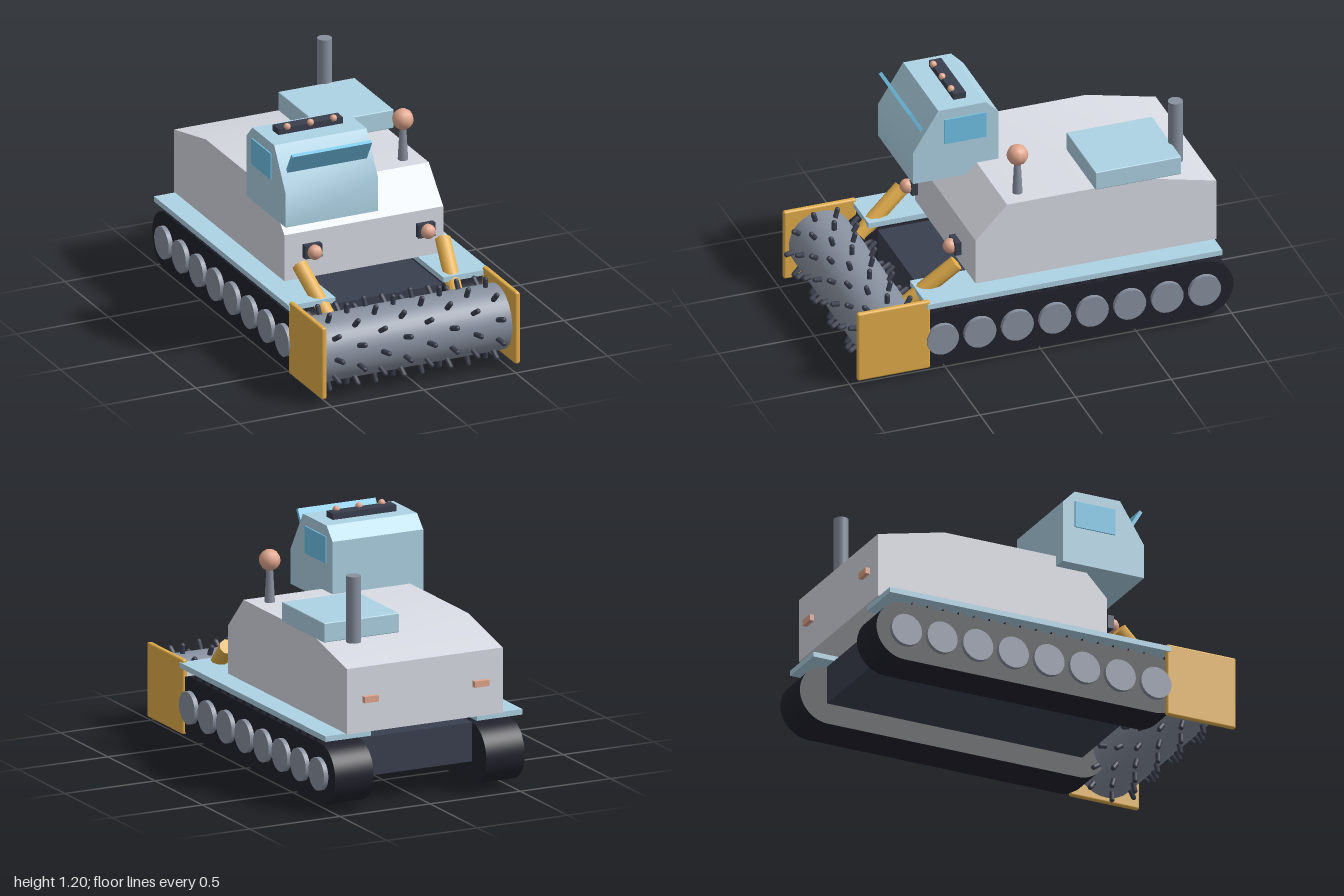
import * as THREE from 'three';
import { toCreasedNormals } from 'three/addons/utils/BufferGeometryUtils.js';
import { RoundedBoxGeometry } from 'three/addons/geometries/RoundedBoxGeometry.js';

const mat = (name, color) => {
  const m = new THREE.MeshStandardMaterial({ color });
  m.name = name;
  return m;
};

export function createModel() {
  const model = new THREE.Group();
  model.name = 'trackedRoller';

  const bodyGrey = mat('body grey', 0xd8dbe3);
  const paleBlue = mat('pale blue', 0xaed3e5);
  const glass = mat('glass blue', 0x72c6ea);
  const yellow = mat('yellow', 0xe2ad4a);
  const steel = mat('steel', 0x88909f);
  const dark = mat('dark slate', 0x3a3f4e);
  const rubber = mat('rubber', 0x20212c);
  const copper = mat('copper', 0xe2a88e);

  const add = (name, geo, material, x = 0, y = 0, z = 0) => {
    const mesh = new THREE.Mesh(geo, material);
    mesh.name = name;
    mesh.position.set(x, y, z);
    model.add(mesh);
    return mesh;
  };
  // Box given by its lower and upper limits, with softened edges if r is set
  const box = (name, material, x0, x1, y0, y1, z0, z1, r = 0) => {
    const size = [x1 - x0, y1 - y0, z1 - z0];
    const geo = r ? new RoundedBoxGeometry(...size, 2, r) : new THREE.BoxGeometry(...size);
    return add(name, geo, material, (x0 + x1) / 2, (y0 + y1) / 2, (z0 + z1) / 2);
  };
  // Side outline in z and y, extruded along x from x0 to x1
  const extrudeX = (name, shape, material, x0, x1) => {
    const geo = new THREE.ExtrudeGeometry(shape, { depth: x1 - x0, bevelEnabled: false, curveSegments: 14 });
    geo.rotateY(-Math.PI / 2).translate(x1, 0, 0);
    return add(name, toCreasedNormals(geo, 0.6), material);
  };
  const outline = (pts) => new THREE.Shape(pts.map(([z, y]) => new THREE.Vector2(z, y)));
  // Cylinder between two points
  const rod = (name, material, a, b, rA, rB, sides) => {
    const from = new THREE.Vector3(...a), to = new THREE.Vector3(...b);
    const dir = to.clone().sub(from);
    const mesh = add(name, new THREE.CylinderGeometry(rB, rA, dir.length(), sides), material);
    mesh.position.copy(from).add(to).multiplyScalar(0.5);
    mesh.quaternion.setFromUnitVectors(new THREE.Vector3(0, 1, 0), dir.normalize());
    return mesh;
  };
  const ball = (name, r, x, y, z) =>
    add(name, new THREE.SphereGeometry(r, 10, 8), copper, x, y, z);

  // Hull between the tracks
  box('hull', dark, -0.315, 0.315, 0.145, 0.343, -0.85, 0.552);

  // Main body with sloped nose and tail
  extrudeX('body', outline([[-0.945, 0.4], [0.315, 0.4], [0.315, 0.646], [0.15, 0.818],
    [-0.58, 0.818], [-0.945, 0.733]]), bodyGrey, -0.432, 0.432);

  // Stadium-shaped track outline
  const axleY = 0.189;
  const trackShape = new THREE.Shape();
  trackShape.absarc(0.53, axleY, 0.153, -Math.PI / 2, Math.PI / 2);
  trackShape.absarc(-0.846, axleY, 0.153, Math.PI / 2, Math.PI * 1.5);

  for (const s of [-1, 1]) {
    const side = s > 0 ? 'left' : 'right';
    const span = (a, b) => (s > 0 ? [a, b] : [-b, -a]);

    // Running gear
    extrudeX(side + 'Track', trackShape, rubber, ...span(0.312, 0.525));
    for (let i = 0; i < 8; i++) {
      const z = 0.527 - i * 0.1958;
      rod(side + 'Wheel', steel, [s * 0.5, axleY, z], [s * 0.549, axleY, z], 0.083, 0.083, 24);
    }
    for (let i = 0; i < 16; i++) {
      const z = 0.49 - i * 0.085;
      box(side + 'TrackLug', rubber, ...span(0.33, 0.52), 0.335, 0.358, z - 0.013, z + 0.013);
    }
    box(side + 'Fender', paleBlue, ...span(0.293, 0.546), 0.374, 0.402, -0.935, 0.608);

    // Arm and side plate carrying the drum
    rod(side + 'Arm', yellow, [s * 0.345, 0.315, 0.64], [s * 0.389, 0.513, 0.4], 0.041, 0.041, 8);
    box(side + 'DrumPlate', yellow, ...span(0.512, 0.54), 0.036, 0.417, 0.59, 0.97, 0.01);

    // Headlight and tail light
    box(side + 'HeadlightMount', dark, ...span(0.262, 0.354), 0.532, 0.602, 0.36, 0.392);
    ball(side + 'Headlight', 0.038, s * 0.308, 0.567, 0.402);
    box(side + 'TailLight', copper, ...span(0.265, 0.345), 0.553, 0.585, -0.968, -0.94);
  }

  // Spiked drum
  const drumY = 0.225, drumZ = 0.78;
  rod('drum', steel, [-0.507, drumY, drumZ], [0.507, drumY, drumZ], 0.167, 0.167, 32);
  const spikeGeo = new THREE.CapsuleGeometry(0.0135, 0.045, 3, 8);
  const up = new THREE.Vector3(0, 1, 0);
  for (let col = 0; col < 8; col++) {
    for (let i = 0; i < 10; i++) {
      const a = (i + (col % 2) / 2) * Math.PI / 5;
      const spike = add('drumSpike', spikeGeo, dark, -0.44 + col * 0.1257,
        drumY + 0.184 * Math.sin(a), drumZ + 0.184 * Math.cos(a));
      // Lean sideways, most at the front and back
      const dir = new THREE.Vector3(0.35 * Math.cos(a), Math.sin(a), Math.cos(a)).normalize();
      spike.quaternion.setFromUnitVectors(up, dir);
    }
  }

  // Cab
  extrudeX('cab', outline([[0.035, 0.763], [0.482, 0.763], [0.482, 0.94], [0.35, 1.152],
    [0.1, 1.152], [0.035, 1.085]]), paleBlue, -0.504, -0.002);
  box('cabWindowRight', glass, -0.511, -0.502, 0.96, 1.097, 0.1, 0.32);
  box('cabWindowLeft', glass, -0.004, 0.005, 0.96, 1.097, 0.1, 0.32);
  // Raised windscreen
  const screen = add('raisedWindscreen', new THREE.BoxGeometry(0.432, 0.122, 0.018), glass, -0.254, 1.086, 0.452);
  screen.rotation.x = 0.53;
  // Roof light bar
  box('roofLightBar', dark, -0.43, -0.078, 1.15, 1.184, 0.178, 0.243);
  for (const x of [-0.38, -0.254, -0.128]) ball('roofLight', 0.018, x, 1.187, 0.238);

  // Rear deck box on rods
  box('deckBox', paleBlue, 0.041, 0.458, 0.823, 0.922, -0.752, -0.303, 0.005);
  for (let i = 0; i < 5; i++) {
    const z = -0.37 - i * 0.08;
    rod('deckRod', yellow, [0.085, 0.823, z], [0.415, 0.823, z], 0.011, 0.011, 8);
  }

  // Exhaust and beacon mast
  rod('exhaust', steel, [0.306, 0.815, -0.776], [0.306, 1.153, -0.776], 0.037, 0.037, 16);
  rod('beaconMast', steel, [0.334, 0.815, 0.06], [0.334, 1.0, 0.06], 0.026, 0.016, 12);
  ball('beacon', 0.054, 0.334, 1.031, 0.06);

  return model;
}
